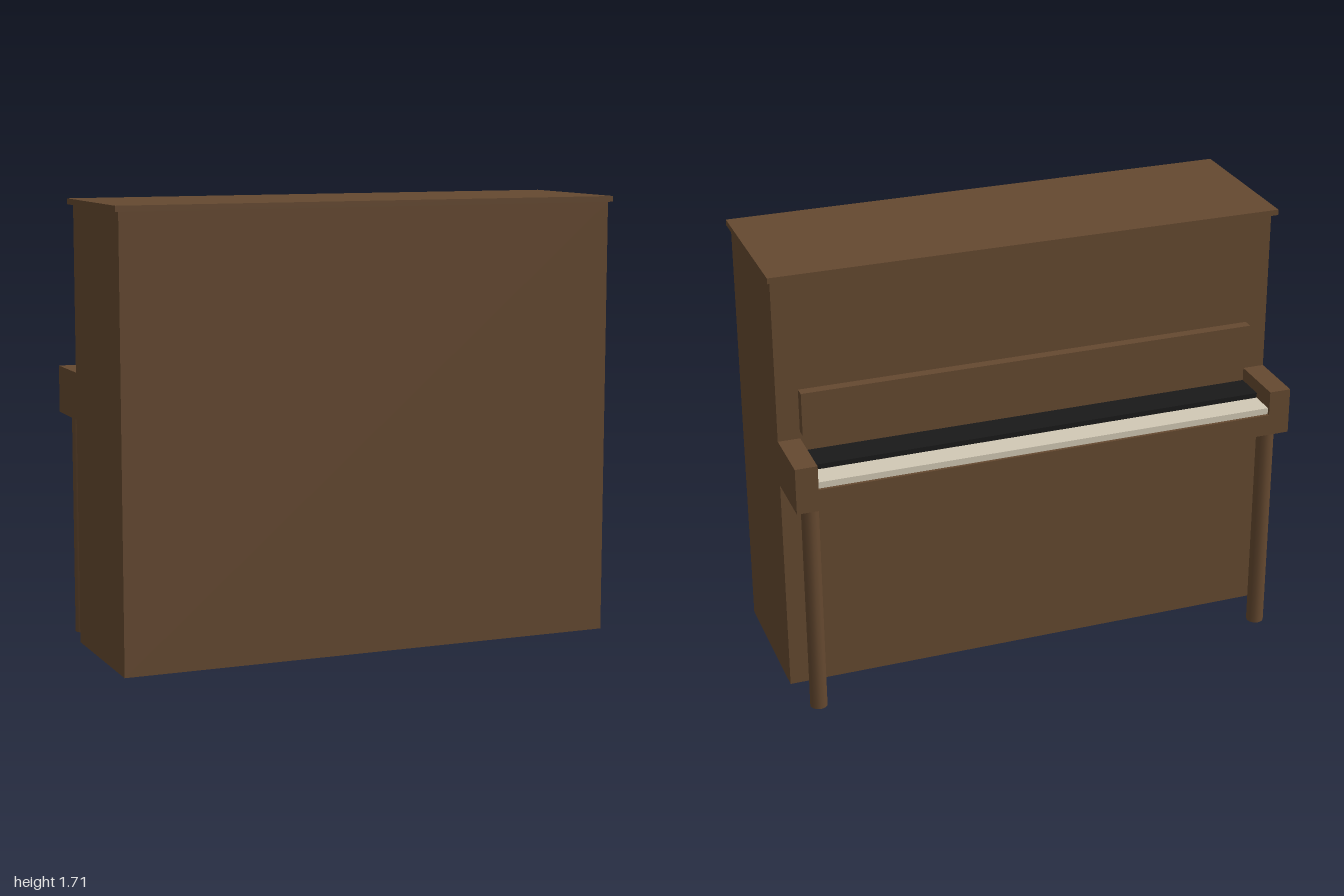
import * as THREE from 'three';

const material = (color) => new THREE.MeshStandardMaterial({ color });

export function createModel() {
  const piano = new THREE.Group();
  piano.name = 'uprightPiano';
  const wood = material(0x654930);
  const ivory = material(0xd2c9b5);
  const ebony = material(0x1a1a1a);

  // Adds a part at the given position
  const add = (name, geometry, mat, x, y, z) => {
    const mesh = new THREE.Mesh(geometry, mat);
    mesh.name = name;
    mesh.position.set(x, y, z);
    piano.add(mesh);
    return mesh;
  };
  // Adds a box spanning the given ranges
  const box = (name, mat, [x0, x1], [y0, y1], [z0, z1]) =>
    add(name, new THREE.BoxGeometry(x1 - x0, y1 - y0, z1 - z0), mat,
      (x0 + x1) / 2, (y0 + y1) / 2, (z0 + z1) / 2);

  // Hollow case, open underneath: the bottom face is left out
  const shell = wood.clone();
  shell.side = THREE.DoubleSide;
  const body = box('case', shell, [-0.985, 0.985], [0, 1.69], [-0.175, 0.403]);
  const index = Array.from(body.geometry.index.array);
  index.splice(18, 6);
  body.geometry.setIndex(index);
  body.geometry.clearGroups();

  // Overhanging lid
  box('lid', wood, [-1, 1], [1.69, 1.712], [-0.204, 0.415]);

  // Keyboard
  box('keyBed', wood, [-0.9, 0.9], [0.87, 0.955], [-0.415, -0.175]);
  box('whiteKeys', ivory, [-0.9, 0.9], [0.955, 0.98], [-0.403, -0.175]);
  box('blackKeys', ebony, [-0.9, 0.9], [0.98, 1.0], [-0.302, -0.175]);

  // Music desk
  box('musicDesk', wood, [-0.9, 0.9], [1.08, 1.25], [-0.215, -0.175]);

  // Cheek blocks and legs on both sides
  for (const side of [-1, 1]) {
    const label = side > 0 ? 'left' : 'right';
    const range = side > 0 ? [0.9, 0.985] : [-0.985, -0.9];
    box(label + 'Cheek', wood, range, [0.87, 1.052], [-0.415, -0.175]);
    add(label + 'Leg', new THREE.CylinderGeometry(0.034, 0.034, 0.87, 12), wood,
      side * 0.92, 0.435, -0.35);
  }
  return piano;
}
